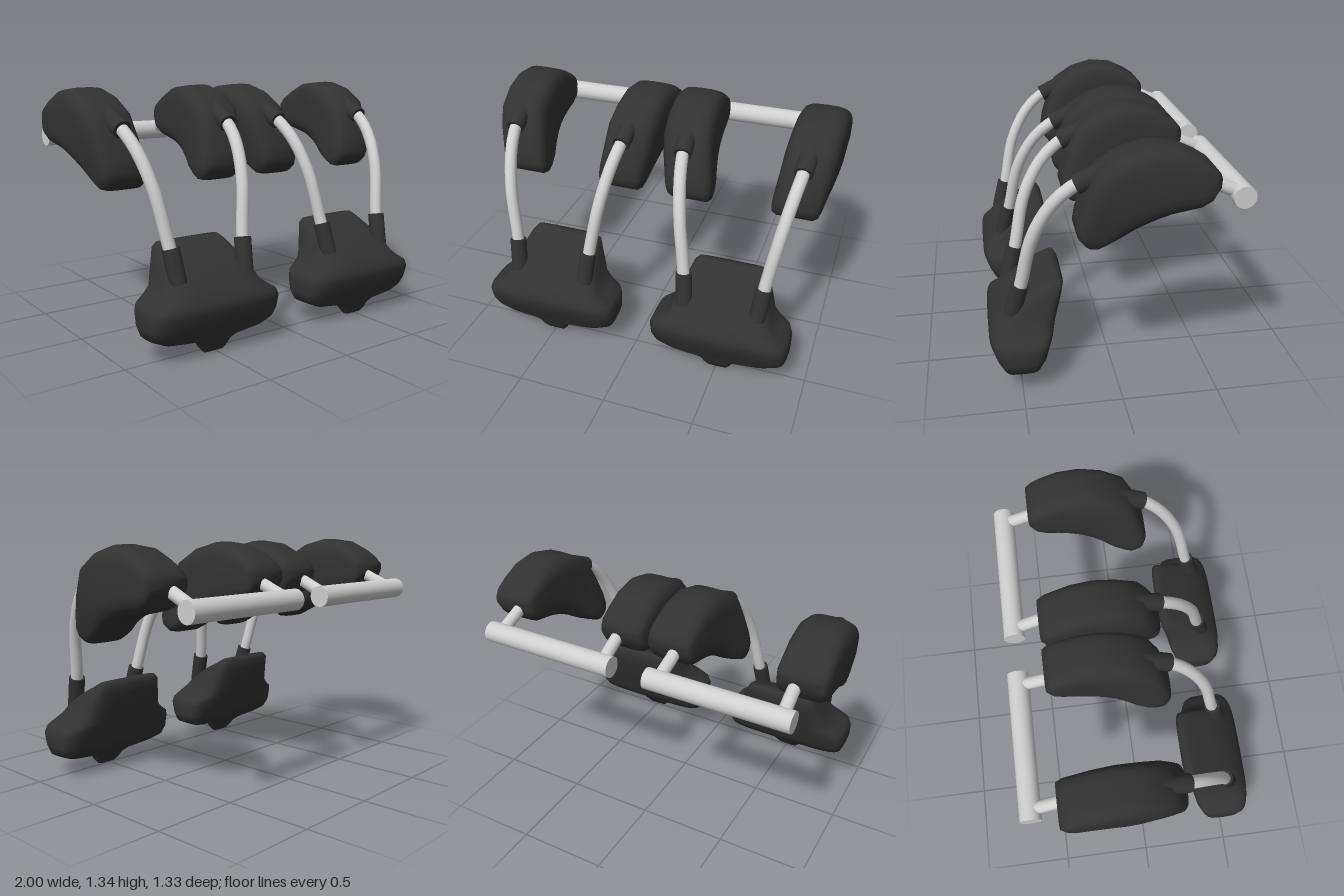
import * as THREE from 'three';

const padding = new THREE.MeshStandardMaterial({ color: 0x323232 });
padding.name = 'dark padding';
const metal = new THREE.MeshStandardMaterial({ color: 0xcfcfcf });
metal.name = 'light metal';

const SIDES = 32;

// Skin over rounded-box sections [centreX, halfWidth, zA, yA, zB, yB],
// where A and B are the two opposite edges of the section in the side plane.
function loft(sections, power) {
  const pos = [], index = [];
  const soft = (v) => Math.sign(v) * Math.pow(Math.abs(v), 2 / power);
  for (const [cx, hw, za, ya, zb, yb] of sections) {
    for (let j = 0; j < SIDES; j++) {
      const t = (j / SIDES) * Math.PI * 2;
      const c = soft(Math.cos(t)), s = soft(Math.sin(t));
      pos.push(cx + hw * c, (ya + yb) / 2 + ((yb - ya) / 2) * s, (za + zb) / 2 + ((zb - za) / 2) * s);
    }
  }
  const last = sections.length - 1;
  for (let i = 0; i < last; i++) {
    for (let j = 0; j < SIDES; j++) {
      const a = i * SIDES + j, b = i * SIDES + ((j + 1) % SIDES);
      index.push(a, b, b + SIDES, a, b + SIDES, a + SIDES);
    }
  }
  // end caps
  for (const i of [0, last]) {
    const [cx, , za, ya, zb, yb] = sections[i];
    const mid = pos.length / 3;
    pos.push(cx, (ya + yb) / 2, (za + zb) / 2);
    for (let j = 0; j < SIDES; j++) {
      const a = i * SIDES + j, b = i * SIDES + ((j + 1) % SIDES);
      if (i === 0) index.push(mid, b, a);
      else index.push(mid, a, b);
    }
  }
  const g = new THREE.BufferGeometry();
  g.setAttribute('position', new THREE.Float32BufferAttribute(pos, 3));
  g.setIndex(index);
  g.computeVertexNormals();
  return g;
}

// Cylinder between two points
function rod(from, to, radius) {
  const a = new THREE.Vector3(...from), b = new THREE.Vector3(...to);
  const dir = b.clone().sub(a);
  const g = new THREE.CylinderGeometry(radius, radius, dir.length(), 24);
  g.applyQuaternion(new THREE.Quaternion().setFromUnitVectors(new THREE.Vector3(0, 1, 0), dir.normalize()));
  g.translate(...a.add(b).multiplyScalar(0.5).toArray());
  return g;
}

function add(parent, name, geometry, material) {
  const m = new THREE.Mesh(geometry, material);
  m.name = name;
  parent.add(m);
}

// Chest pad from bottom to top: y, half width, back z, front z
const CHEST = [
  [0.003, 0.06, 0.51, 0.55], [0.03, 0.08, 0.488, 0.567], [0.06, 0.095, 0.465, 0.58],
  [0.082, 0.14, 0.447, 0.59], [0.1, 0.31, 0.425, 0.597], [0.13, 0.377, 0.385, 0.61],
  [0.18, 0.392, 0.355, 0.637], [0.25, 0.392, 0.335, 0.662], [0.285, 0.378, 0.322, 0.66],
  [0.315, 0.33, 0.312, 0.647], [0.35, 0.285, 0.3, 0.622], [0.42, 0.26, 0.28, 0.56],
  [0.48, 0.235, 0.266, 0.465], [0.53, 0.215, 0.259, 0.365], [0.556, 0.19, 0.275, 0.32],
];

// Shoulder pad from front bottom to back: centre x, half width, outer z, y, inner z, y
const SHOULDER = [
  [0.297, 0.1, 0.188, 0.848, 0.145, 0.82], [0.298, 0.124, 0.212, 0.878, 0.105, 0.822],
  [0.302, 0.134, 0.223, 0.92, 0.06, 0.845], [0.31, 0.138, 0.213, 0.99, 0, 0.878],
  [0.327, 0.142, 0.175, 1.11, -0.06, 0.92], [0.34, 0.145, 0.12, 1.23, -0.115, 0.95],
  [0.349, 0.145, 0, 1.305, -0.17, 0.975], [0.353, 0.143, -0.13, 1.34, -0.23, 0.995],
  [0.357, 0.139, -0.26, 1.327, -0.3, 1.01], [0.36, 0.136, -0.36, 1.28, -0.37, 1.025],
  [0.36, 0.133, -0.42, 1.24, -0.415, 1.055], [0.36, 0.118, -0.455, 1.2, -0.45, 1.115],
];

// Bent arm tube from the chest pad over the shoulder to the rear bar
const ARM = [
  [0.21, 0.43, 0.525], [0.225, 0.57, 0.485], [0.27, 0.85, 0.423], [0.305, 1.04, 0.32],
  [0.327, 1.145, 0.2], [0.335, 1.21, 0.05], [0.335, 1.22, -0.15], [0.33, 1.17, -0.33],
  [0.33, 1.115, -0.45], [0.337, 1.05, -0.6],
];

function createHarness() {
  const g = new THREE.Group();
  add(g, 'chestPad', loft(CHEST.map(([y, hw, z0, z1]) => [0, hw, z1, y, z0, y]), 4.5), padding);
  add(g, 'rearBar', rod([-0.4, 1.045, -0.605], [0.4, 1.045, -0.605], 0.058), metal);

  for (const s of [1, -1]) {
    const side = s > 0 ? 'left' : 'right';
    const at = (x, y, z) => [s * x, y, z];
    add(g, side + 'ShoulderPad', loft(SHOULDER.map(([x, ...rest]) => [s * x, ...rest]), 3.8), padding);
    const path = new THREE.CatmullRomCurve3(ARM.map((p) => new THREE.Vector3(...at(...p))));
    add(g, side + 'Arm', new THREE.TubeGeometry(path, 28, 0.034, 16), metal);
    add(g, side + 'LowerSleeve', rod(at(0.205, 0.39, 0.535), at(0.222, 0.565, 0.49), 0.046), padding);
    add(g, side + 'UpperSleeve', rod(at(0.327, 1.137, 0.215), at(0.337, 1.215, 0.05), 0.05), padding);
  }
  return g;
}

export function createModel() {
  const model = new THREE.Group();
  model.name = 'pairedRestraintHarness';
  for (const s of [1, -1]) {
    const harness = createHarness();
    harness.name = s > 0 ? 'leftHarness' : 'rightHarness';
    harness.position.x = s * 0.505;
    model.add(harness);
  }
  return model;
}
